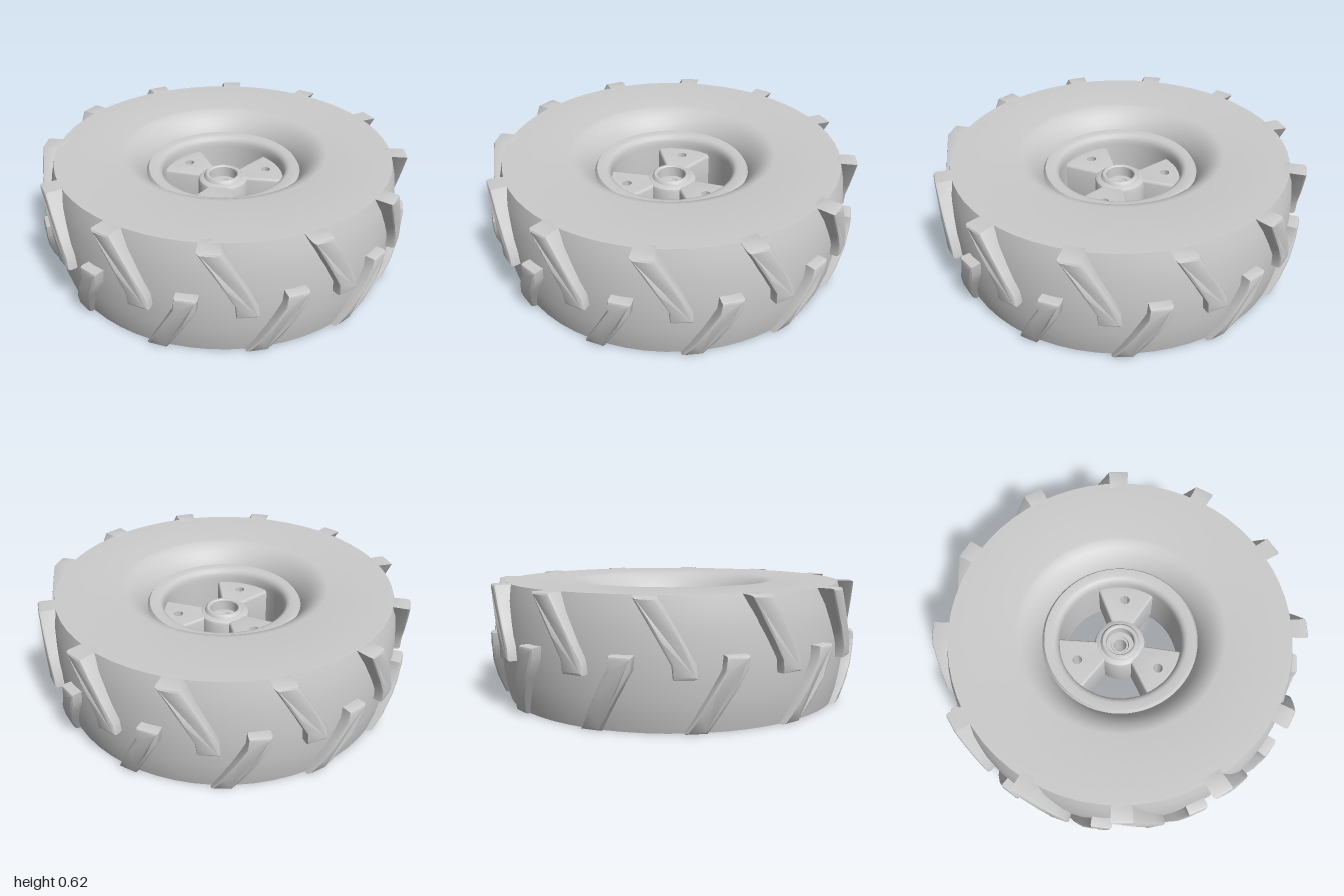
import * as THREE from 'three';
import { toCreasedNormals } from 'three/addons/utils/BufferGeometryUtils.js';

const H = 0.62; // tyre width, lying flat
const material = new THREE.MeshStandardMaterial({ color: 0xcccccc });

function addMesh(parent, name, geometry, crease = 0.5) {
  const mesh = new THREE.Mesh(toCreasedNormals(geometry, crease), material);
  mesh.name = name;
  parent.add(mesh);
  return mesh;
}

// Ring symmetric about mid-height: the upper half profile runs from outside to inside
function symmetricRing(upper, segments) {
  const lower = upper.map(([r, y]) => [r, H - y]).reverse();
  const loop = [...upper, ...lower, upper[0]];
  return new THREE.LatheGeometry(loop.map(([r, y]) => new THREE.Vector2(r, y)), segments);
}

// Slanted tread bar, wrapped around the tyre from a flat bevelled outline
function lugGeometry(upper) {
  const rows = [[-0.065, 0], [-0.005, 0.1], [0.054, 0.2], [0.108, 0.295], [0.115, 0.36]];
  const place = ([u, y], side) => new THREE.Vector2(
    u + side * 0.056 - (upper ? 0.236 : 0), upper ? H - y : y);
  const outline = [
    ...rows.map((p) => place(p, 1)),
    ...rows.slice().reverse().map((p) => place(p, -1)),
  ];
  const bevel = 0.014, depth = 0.1, top = depth + bevel;
  const geometry = new THREE.ExtrudeGeometry(new THREE.Shape(outline), {
    depth, bevelThickness: bevel, bevelSize: bevel, bevelOffset: -bevel, bevelSegments: 2,
  });
  const pos = geometry.attributes.position;
  for (let i = 0; i < pos.count; i++) {
    const u = pos.getX(i), y = pos.getY(i);
    // lower bars curve inwards to the sidewall, upper bars stay proud
    const outer = upper ? 0.996 : 1.0 - 0.062 * Math.max(0, 1 - y / 0.3) ** 2;
    const r = outer - (top - pos.getZ(i));
    pos.setXYZ(i, r * Math.sin(u), y, r * Math.cos(u));
  }
  return geometry;
}

// Thick wedge with rounded edges and a straight bolt hole, pointing along +x
function spokeGeometry() {
  const half = THREE.MathUtils.degToRad(27.5), bevel = 0.018, thickness = 0.26;
  const holeX = 0.257, holeR = 0.026;
  const shape = new THREE.Shape();
  shape.absarc(0, 0, 0.37, -half, half, false);
  shape.absarc(0, 0, 0.1, half, -half, true);
  shape.closePath();
  const hole = new THREE.Path();
  hole.absarc(holeX, 0, holeR, 0, Math.PI * 2, true);
  shape.holes.push(hole);
  const geometry = new THREE.ExtrudeGeometry(shape, {
    depth: thickness - 2 * bevel, bevelThickness: bevel, bevelSize: bevel,
    bevelOffset: -bevel, bevelSegments: 3, curveSegments: 12,
  });
  // straighten the hole wall
  const pos = geometry.attributes.position;
  for (let i = 0; i < pos.count; i++) {
    const dx = pos.getX(i) - holeX, dy = pos.getY(i), d = Math.hypot(dx, dy);
    if (d < 0.055) pos.setXY(i, holeX + dx * holeR / d, dy * holeR / d);
  }
  geometry.translate(0, 0, -(thickness / 2 - bevel));
  geometry.rotateX(Math.PI / 2);
  geometry.translate(0, H / 2, 0);
  return geometry;
}

export function createModel() {
  const model = new THREE.Group();
  model.name = 'tractorWheel';

  // Tyre body with flat sidewalls and dished centre
  addMesh(model, 'tyre', symmetricRing([
    [0.948, 0.31], [0.946, 0.38], [0.94, 0.46], [0.93, 0.54], [0.91, H],
    [0.56, H], [0.535, 0.615], [0.505, 0.6], [0.475, 0.575], [0.45, 0.545],
    [0.43, 0.515], [0.415, 0.48],
  ], 60));

  // Two staggered rows of tread bars
  const lugs = new THREE.Group();
  lugs.name = 'treadBars';
  model.add(lugs);
  for (const upper of [false, true]) {
    const geometry = lugGeometry(upper);
    for (let i = 0; i < 12; i++) {
      const lug = addMesh(lugs, upper ? 'upperTreadBar' : 'lowerTreadBar', geometry, 0.6);
      lug.rotation.y = i * Math.PI / 6;
    }
  }

  // Rim barrel with rounded lip
  addMesh(model, 'rim', symmetricRing([
    [0.425, 0.5], [0.412, 0.52], [0.37, 0.52], [0.355, 0.515], [0.343, 0.503],
    [0.337, 0.485], [0.335, 0.46],
  ], 60));

  // Three spokes
  const spoke = spokeGeometry();
  for (let i = 0; i < 3; i++) {
    const angle = THREE.MathUtils.degToRad(84 + i * 120);
    addMesh(model, 'spoke', spoke, 0.6).rotation.y = -angle;
  }

  // Hub with raised collar, recess and axle bore
  addMesh(model, 'hub', symmetricRing([
    [0.14, 0.42], [0.135, 0.435], [0.122, 0.443], [0.108, 0.446], [0.103, 0.456],
    [0.095, 0.464], [0.085, 0.464], [0.078, 0.458], [0.076, 0.4], [0.05, 0.4],
    [0.046, 0.39], [0.036, 0.39],
  ], 40));

  return model;
}
